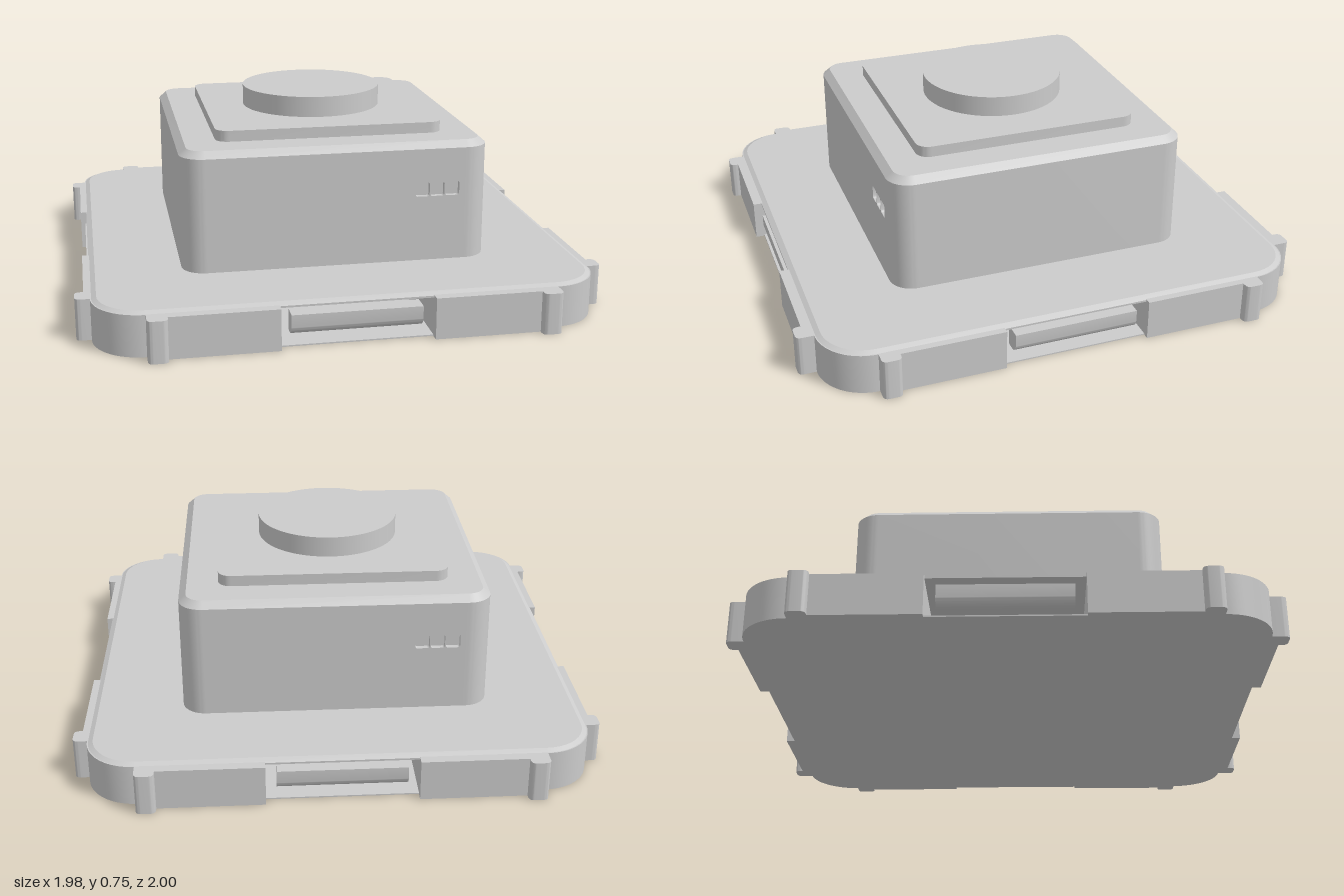
import * as THREE from 'three';
import { toCreasedNormals } from 'three/addons/utils/BufferGeometryUtils.js';

const mat = new THREE.MeshStandardMaterial({ color: 0xcccccc });

function addPart(parent, name, geo) {
  const mesh = new THREE.Mesh(toCreasedNormals(geo, 0.45), mat);
  mesh.name = name;
  parent.add(mesh);
  return mesh;
}

// Plan outline extruded upward from y0 to y1
function extrudeUp(shape, y0, y1) {
  const geo = new THREE.ExtrudeGeometry(shape, { depth: y1 - y0, bevelEnabled: false, curveSegments: 10 });
  return geo.rotateX(-Math.PI / 2).translate(0, y0, 0);
}

// Rounded-square solid lofted through rings of [half size, corner radius, y]
function loftSquare(rings) {
  const seg = 10, n = 4 * (seg + 1), pos = [], idx = [];
  for (const [h, r, y] of rings) {
    for (let c = 0; c < 4; c++) {
      const cx = (c === 0 || c === 3 ? 1 : -1) * (h - r), cz = (c < 2 ? 1 : -1) * (h - r);
      for (let i = 0; i <= seg; i++) {
        const a = (c + i / seg) * Math.PI / 2;
        pos.push(cx + r * Math.cos(a), y, cz + r * Math.sin(a));
      }
    }
  }
  const last = (rings.length - 1) * n, bottom = rings.length * n, top = bottom + 1;
  pos.push(0, rings[0][2], 0, 0, rings[rings.length - 1][2], 0);
  for (let i = 0; i < n; i++) {
    const j = (i + 1) % n;
    for (let k = 0; k < last; k += n) idx.push(k + i, k + n + i, k + j, k + j, k + n + i, k + n + j);
    idx.push(bottom, i, j, top, last + j, last + i);
  }
  const geo = new THREE.BufferGeometry();
  geo.setAttribute('position', new THREE.Float32BufferAttribute(pos, 3));
  geo.setIndex(idx);
  return geo;
}

// Corner of the base: raised side blocks, rounded ribs and the corner arc
function cornerShape(sx, sz) {
  const s = new THREE.Shape();
  s.moveTo(0.28, 0.28);
  s.lineTo(0.957, 0.28);
  s.lineTo(0.957, 0.675);
  s.lineTo(0.967, 0.675);
  s.quadraticCurveTo(0.989, 0.675, 0.989, 0.695);
  s.lineTo(0.989, 0.728);
  s.quadraticCurveTo(0.989, 0.748, 0.967, 0.748);
  s.lineTo(0.934, 0.748);
  s.absarc(0.748, 0.748, 0.186, 0, Math.PI / 2, false);
  s.lineTo(0.748, 0.978);
  s.quadraticCurveTo(0.748, 1, 0.728, 1);
  s.lineTo(0.695, 1);
  s.quadraticCurveTo(0.675, 1, 0.675, 0.978);
  s.lineTo(0.675, 0.968);
  s.lineTo(0.28, 0.968);
  return new THREE.Shape(s.getPoints(10).map(p => new THREE.Vector2(p.x * sx, p.y * sz)));
}

// Housing outline, stepped in at front and back to receive the slotted panels
function housingShape() {
  const h = 0.588, r = 0.09, w = 0.49, d = 0.568, c = h - r;
  const s = new THREE.Shape();
  s.moveTo(h, -c);
  s.absarc(c, c, r, 0, Math.PI / 2, false);
  for (const [x, y] of [[w, h], [w, d], [-w, d], [-w, h]]) s.lineTo(x, y);
  s.absarc(-c, c, r, Math.PI / 2, Math.PI, false);
  s.absarc(-c, -c, r, Math.PI, Math.PI * 1.5, false);
  for (const [x, y] of [[-w, -h], [-w, -d], [w, -d], [w, -h]]) s.lineTo(x, y);
  s.absarc(c, -c, r, -Math.PI / 2, 0, false);
  return s;
}

// Flush panel with three small rounded slots
function panelGeometry() {
  const s = new THREE.Shape([[-0.49, 0.16], [0.49, 0.16], [0.49, 0.605], [-0.49, 0.605]].map(p => new THREE.Vector2(...p)));
  for (let i = 0; i < 3; i++) {
    const x = 0.325 + i * 0.058, y = 0.447, h = 0.027, r = 0.008;
    const hole = new THREE.Path();
    hole.absarc(x + h - r, y + h - r, r, 0, Math.PI / 2, false);
    hole.absarc(x - h + r, y + h - r, r, Math.PI / 2, Math.PI, false);
    hole.absarc(x - h + r, y - h + r, r, Math.PI, Math.PI * 1.5, false);
    hole.absarc(x + h - r, y - h + r, r, Math.PI * 1.5, Math.PI * 2, false);
    hole.closePath();
    s.holes.push(hole);
  }
  return new THREE.ExtrudeGeometry(s, { depth: 0.02, bevelEnabled: false, curveSegments: 4 }).translate(0, 0, 0.568);
}

// Latch bar: flat outer face curling under at the bottom
function latchGeometry() {
  const s = new THREE.Shape();
  s.moveTo(0.87, 0.12);
  s.lineTo(0.87, 0.04);
  s.lineTo(0.9, 0.04);
  s.absarc(0.9, 0.08, 0.04, -Math.PI / 2, 0, false);
  s.lineTo(0.94, 0.12);
  const geo = new THREE.ExtrudeGeometry(s, { depth: 0.48, bevelEnabled: false, curveSegments: 8 });
  return geo.translate(0, 0, -0.24);
}

export function createModel() {
  const model = new THREE.Group();
  model.name = 'squareDevice';

  // Base: thin floor, four corners with side openings between, chamfered lid
  const base = new THREE.Group();
  base.name = 'base';
  model.add(base);
  addPart(base, 'floor', loftSquare([[0.934, 0.186, 0], [0.934, 0.186, 0.005]]));
  for (const sx of [1, -1]) for (const sz of [1, -1]) {
    addPart(base, 'baseCorner', extrudeUp(cornerShape(sx, sz), 0, 0.157));
  }
  addPart(base, 'lid', loftSquare([[0.934, 0.186, 0.148], [0.934, 0.186, 0.155], [0.912, 0.164, 0.166]]));
  for (let i = 0; i < 4; i++) {
    addPart(base, 'latchBar', latchGeometry()).rotation.y = i * Math.PI / 2;
  }

  // Housing with flush slotted panels and a chamfered cap
  addPart(model, 'housing', extrudeUp(housingShape(), 0.16, 0.605));
  for (const turn of [0, Math.PI]) addPart(model, 'slottedPanel', panelGeometry()).rotation.y = turn;
  addPart(model, 'housingCap', loftSquare([[0.588, 0.09, 0.605], [0.56, 0.062, 0.63]]));

  // Raised top plate and round button running down through the housing
  addPart(model, 'topPlate', loftSquare([[0.44, 0.05, 0.625], [0.44, 0.05, 0.672]]));
  addPart(model, 'button', new THREE.CylinderGeometry(0.278, 0.278, 0.65, 64).translate(0, 0.427, 0));

  return model;
}
